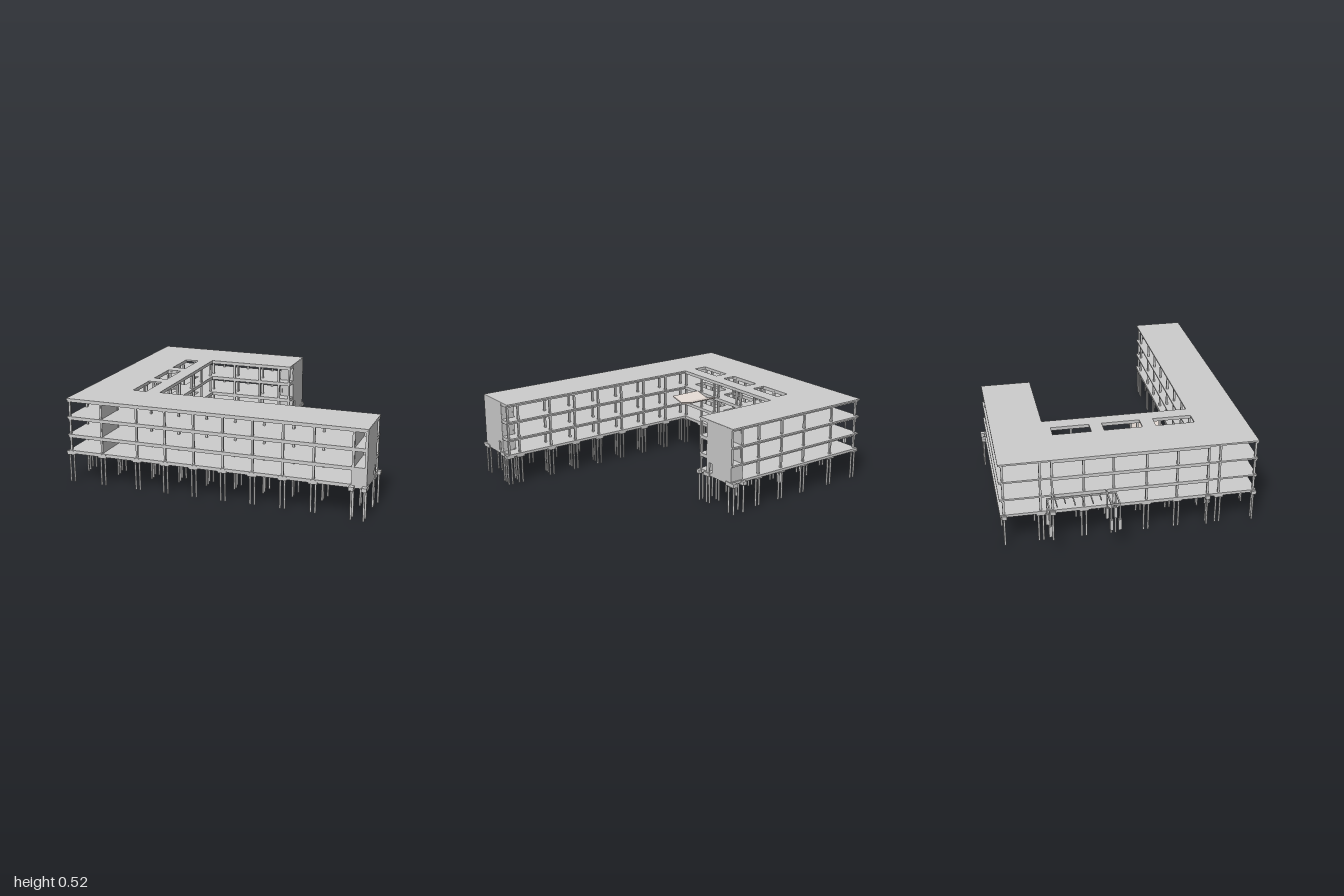
import * as THREE from 'three';

const GREY = new THREE.MeshStandardMaterial({ color: 0xcccccc, side: THREE.DoubleSide });
const CANOPY = new THREE.MeshStandardMaterial({ color: 0xe2d8d2, side: THREE.DoubleSide });

// Box given by its lower and upper corners
function block(parent, name, x0, x1, y0, y1, z0, z1, mat = GREY) {
  const mesh = new THREE.Mesh(new THREE.BoxGeometry(x1 - x0, y1 - y0, z1 - z0), mat);
  mesh.position.set((x0 + x1) / 2, (y0 + y1) / 2, (z0 + z1) / 2);
  mesh.name = name;
  parent.add(mesh);
  return mesh;
}

function group(parent, name) {
  const g = new THREE.Group();
  g.name = name;
  parent.add(g);
  return g;
}

// C-shaped plan; shape y runs along -z
const PLAN = [[-0.835, 0.735], [0.98, 0.735], [0.98, 0.43], [-0.37, 0.43],
  [-0.37, -0.44], [0.18, -0.44], [0.18, -0.745], [-0.835, -0.745]];
const WELLS = [[-0.4, -0.175], [-0.1, 0.125], [0.205, 0.435]];
const LEVELS = [0.2, 0.3, 0.41, 0.52];

function slab(parent, name, top, thick, holes) {
  const shape = new THREE.Shape(PLAN.map(([x, z]) => new THREE.Vector2(x, -z)));
  if (holes) {
    for (const [a, b] of WELLS) {
      shape.holes.push(new THREE.Path([[-0.545, a], [-0.545, b], [-0.457, b], [-0.457, a]]
        .map(([x, z]) => new THREE.Vector2(x, -z))));
    }
  }
  const geo = new THREE.ExtrudeGeometry(shape, { depth: thick, bevelEnabled: false });
  geo.rotateX(-Math.PI / 2);
  const mesh = new THREE.Mesh(geo, GREY);
  mesh.position.y = top - thick;
  mesh.name = name;
  parent.add(mesh);
}

// Stairwell at a wing end: end wall with a doorway, inner wall, back wall, low front panel
function stairwell(parent, x0, x1, side) {
  const g = group(parent, 'stairwell');
  const wall = new THREE.Shape([[0.51, 0.2], [0.535, 0.2], [0.535, 0.26], [0.56, 0.26],
    [0.56, 0.2], [0.737, 0.2], [0.737, 0.518], [0.51, 0.518]]
    .map(([z, y]) => new THREE.Vector2(-z * side, y)));
  const geo = new THREE.ExtrudeGeometry(wall, { depth: 0.008, bevelEnabled: false });
  geo.rotateY(Math.PI / 2);
  const end = new THREE.Mesh(geo, GREY);
  end.position.x = x1 - 0.007;
  end.name = 'endWall';
  g.add(end);
  const [a, b] = side > 0 ? [0.51, 0.73] : [-0.73, -0.51];
  block(g, 'innerWall', x0, x0 + 0.008, 0.2, 0.51, a, b);
  block(g, 'corridorWall', x0, x1, 0.2, 0.51, side * 0.514 - 0.004, side * 0.514 + 0.004);
  block(g, 'lowPanel', x0, x1, 0.2, 0.3, side * 0.733 - 0.004, side * 0.733 + 0.004);
}

export function createModel() {
  const model = new THREE.Group();
  model.name = 'building';

  // Floors and roof
  slab(model, 'groundSlab', 0.2, 0.016, false);
  slab(model, 'firstFloor', 0.3, 0.01, true);
  slab(model, 'secondFloor', 0.41, 0.01, true);
  slab(model, 'roof', 0.52, 0.01, true);

  // Column grid, as [x, z, direction of the pile pair]
  const bays = [-0.39, -0.212, -0.034, 0.144, 0.322, 0.5, 0.678];
  const spineZ = [-0.27, -0.1, 0.09, 0.268];
  const points = [];
  for (const side of [-1, 1]) {
    const xs = [-0.82, -0.615, ...bays.filter((x) => side > 0 || x < 0.1)];
    for (const x of xs) {
      points.push([x, side * 0.722, 'x'], [x, side * 0.515, 'z'], [x, side * 0.448, 'x']);
    }
    const ends = side > 0 ? [0.9, 0.972] : [0.1, 0.172];
    for (const x of ends) {
      points.push([x, side * 0.73, 'end'], [x, side * 0.515, 'z'], [x, side * 0.448, 'x']);
    }
  }
  for (const z of spineZ) {
    for (const x of [-0.82, -0.615, -0.55, -0.385]) points.push([x, z, 'z']);
  }
  for (const x of [-0.55, -0.385]) points.push([x, -0.14, 'x'], [x, 0.13, 'x']);

  const columns = group(model, 'columns');
  const foundations = group(model, 'foundations');
  for (const [x, z, dir] of points) {
    block(columns, 'column', x - 0.006, x + 0.006, 0.2, 0.51, z - 0.006, z + 0.006);
    const along = dir === 'x' ? [0.026, 0.014] : [0.014, 0.026];
    if (dir === 'end') along[1] = 0.037;
    block(foundations, 'pileCap', x - along[0], x + along[0], 0.172, 0.195, z - along[1], z + along[1]);
    for (const s of [-1, 1]) {
      const pile = new THREE.Mesh(new THREE.CylinderGeometry(0.006, 0.006, 0.175, 8), GREY);
      const d = dir === 'end' ? 0.023 : 0.013;
      pile.position.set(x + (dir === 'x' ? s * d : 0), 0.0875, z + (dir === 'x' ? 0 : s * d));
      pile.name = 'pile';
      foundations.add(pile);
    }
  }

  // Beams under each level: long ones on the column lines, cross beams at each bay
  const beams = group(model, 'beams');
  for (const top of LEVELS) {
    const y1 = top - 0.01, y0 = top - 0.021, t = 0.005;
    const alongX = (x0, x1, z) => block(beams, 'beam', x0, x1, y0, y1, z - t, z + t);
    const alongZ = (x, z0, z1) => block(beams, 'beam', x - t, x + t, y0, y1, z0, z1);
    for (const side of [-1, 1]) {
      const end = side > 0 ? 0.975 : 0.175;
      for (const z of [0.728, 0.515, 0.446]) alongX(-0.83, end, side * z);
      const [a, b] = side > 0 ? [0.446, 0.728] : [-0.728, -0.446];
      for (const x of [-0.615, ...bays, 0.9].filter((v) => v < end)) alongZ(x, a, b);
      alongZ(end, a, b);
    }
    for (const x of [-0.828, -0.615, -0.551, -0.45, -0.377]) alongZ(x, -0.446, 0.446);
    for (const z of spineZ) {
      alongX(-0.83, -0.55, z);
      if (!WELLS.some(([a, b]) => z > a && z < b) || top === 0.2) alongX(-0.55, -0.37, z);
    }
  }

  // Stairwells and inner core walls
  stairwell(model, 0.9, 0.98, 1);
  stairwell(model, 0.1, 0.18, -1);
  const core = group(model, 'coreWalls');
  block(core, 'coreWall', -0.622, -0.612, 0.2, 0.51, 0.515, 0.73);

  // Butterfly canopy over the courtyard entrance
  const valley = new THREE.Shape([[-0.295, 0.411], [-0.1975, 0.387], [-0.1, 0.411],
    [-0.1, 0.404], [-0.1975, 0.378], [-0.295, 0.404]].map(([z, y]) => new THREE.Vector2(z, y)));
  const canopyGeo = new THREE.ExtrudeGeometry(valley, { depth: 0.205, bevelEnabled: false });
  canopyGeo.rotateY(Math.PI / 2);
  const canopy = new THREE.Mesh(canopyGeo, CANOPY);
  canopy.position.x = -0.37;
  canopy.name = 'canopy';
  model.add(canopy);

  // Open pergola beside the outer wall
  const pergola = group(model, 'pergola');
  for (const x of [-0.99, -0.867]) {
    for (const z of [-0.485, -0.145, -0.098]) {
      block(pergola, 'footing', x - 0.009, x + 0.009, 0.132, 0.2, z - 0.009, z + 0.009);
      block(pergola, 'post', x - 0.004, x + 0.004, 0.2, 0.3, z - 0.004, z + 0.004);
    }
  }
  block(pergola, 'innerRail', -0.871, -0.863, 0.29, 0.3, -0.49, -0.095);
  block(pergola, 'outerRail', -0.994, -0.986, 0.29, 0.3, -0.149, -0.095);
  for (const z of [-0.485, -0.145, -0.098]) {
    block(pergola, 'crossRail', -0.994, -0.863, 0.291, 0.3, z - 0.004, z + 0.004);
  }
  for (let i = 0; i < 6; i++) {
    const z = -0.44 + i * 0.05;
    block(pergola, 'rib', i % 2 ? -0.93 : -0.955, -0.865, 0.291, 0.299, z - 0.003, z + 0.003);
  }
  for (const z of [-0.44, -0.145]) {
    block(pergola, 'wallTie', -0.867, -0.835, 0.291, 0.299, z - 0.003, z + 0.003);
  }
  return model;
}
